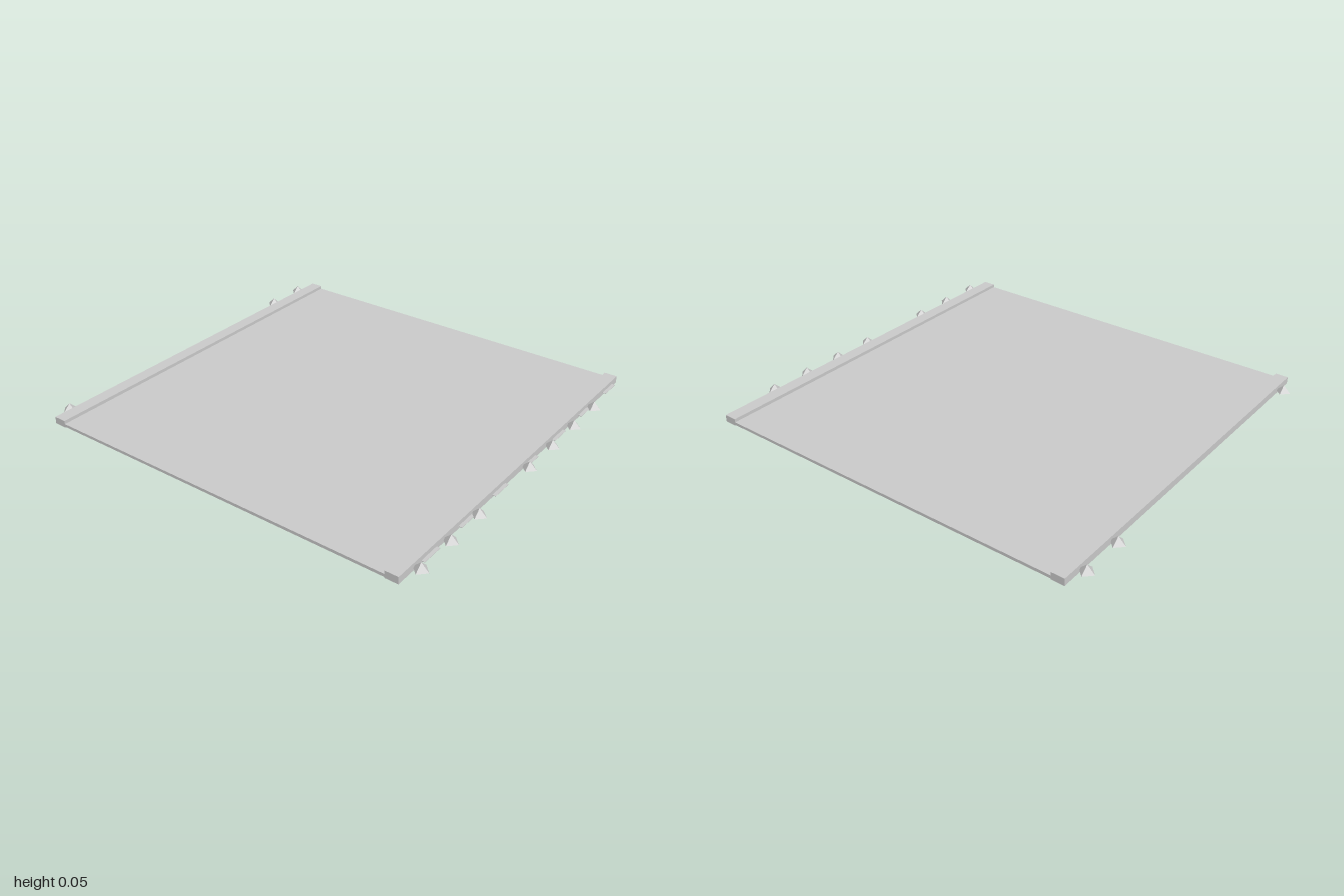
import * as THREE from 'three';

export function createModel() {
  const model = new THREE.Group();
  const material = new THREE.MeshStandardMaterial({ color: 0xcccccc, flatShading: true });
  const length = 1.876;

  function add(name, geometry, x, y, z) {
    const mesh = new THREE.Mesh(geometry, material);
    mesh.name = name;
    mesh.position.set(x, y, z);
    model.add(mesh);
  }

  // Thin deck between two raised kerbs
  add('deck', new THREE.BoxGeometry(1.76, 0.014, length), 0, 0.011, 0);
  const kerb = new THREE.BoxGeometry(0.062, 0.034, length);
  for (const side of [-1, 1]) add('kerb', kerb, side * 0.906, 0.017, 0);

  // Four-sided studs along the outside of the kerbs, corners on the axes
  const stud = new THREE.ConeGeometry(0.036, 0.034, 4);
  const studRows = [
    [1, [-0.625, -0.418, -0.21, 0, 0.415, 0.625, 0.832]],
    [-1, [-0.835, -0.625, 0.832]],
  ];
  for (const [side, row] of studRows) {
    for (const z of row) add('stud', stud, side * 0.964, 0.029, z);
  }

  // Thin flat tabs, evenly spaced along the left kerb
  const tab = new THREE.BoxGeometry(0.018, 0.002, 0.106);
  for (let i = 0; i < 7; i++) add('edgeTab', tab, 0.944, 0.012, -0.837 + i * 0.262);

  return model;
}
